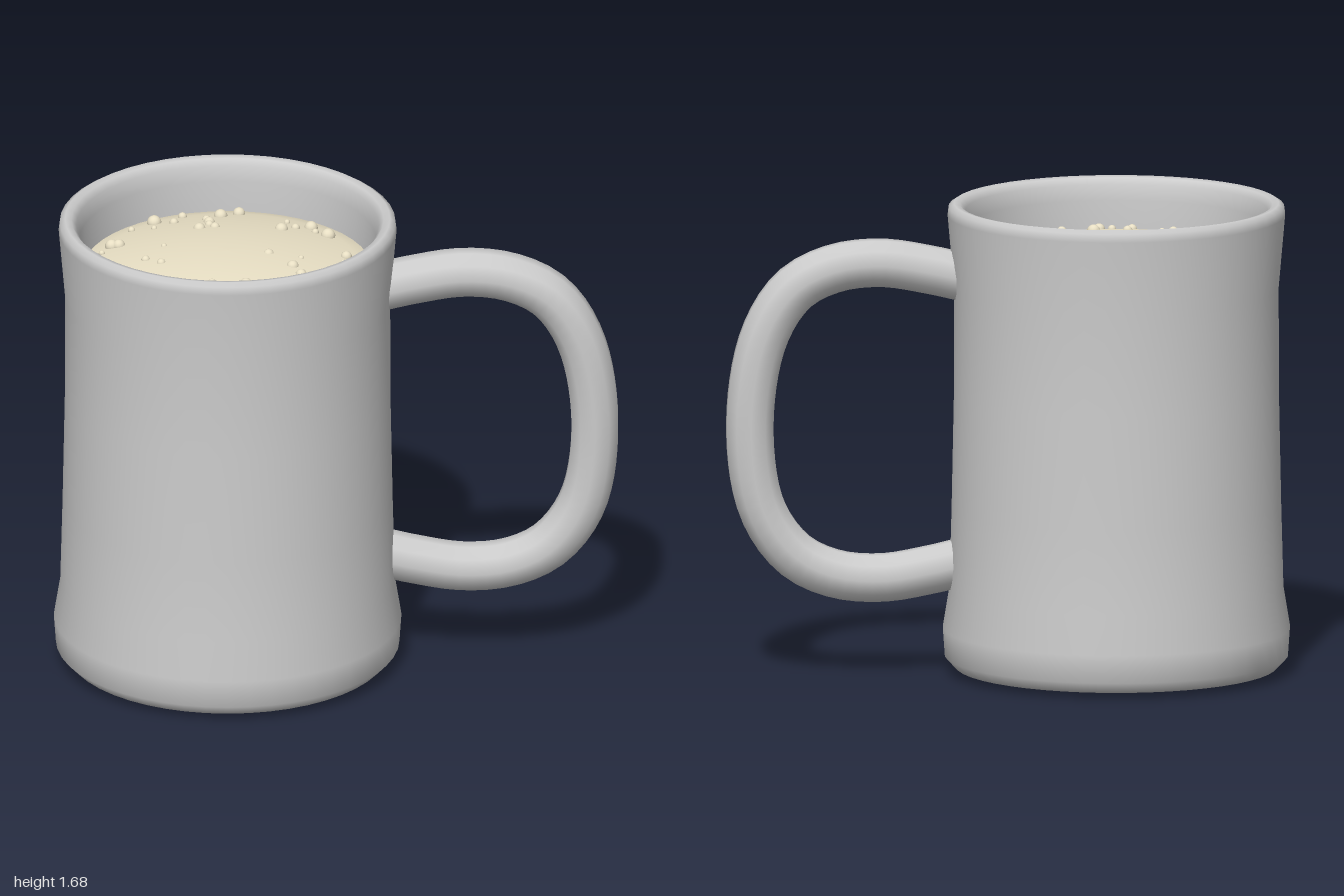
import * as THREE from 'three';

const MUG_X = -0.385; // axis of the round body

const grey = () => new THREE.MeshStandardMaterial({ color: 0xcccccc });
const cream = () => new THREE.MeshStandardMaterial({ color: 0xe8dfc4 });

function part(name, geometry, material) {
  const mesh = new THREE.Mesh(geometry, material);
  mesh.name = name;
  return mesh;
}

const lathe = (points, segments) =>
  new THREE.LatheGeometry(points.map(([r, y]) => new THREE.Vector2(r, y)), segments);

// Height of the domed drink at distance d from the axis
const domeHeight = (d) => 1.56 - 0.07 * (d / 0.515) ** 2;

// Bubbles on the drink: x and z from the mug axis, radius
const BUBBLES = [
  [-0.26, -0.365, 0.026], [-0.16, -0.42, 0.016], [-0.19, -0.34, 0.016], [-0.025, -0.41, 0.024],
  [0.04, -0.45, 0.022], [-0.34, -0.3, 0.013], [-0.26, -0.285, 0.011], [-0.075, -0.355, 0.016],
  [-0.065, -0.32, 0.02], [-0.1, -0.245, 0.022], [-0.045, -0.255, 0.018], [-0.065, -0.285, 0.016],
  [0.21, -0.35, 0.011], [0.295, -0.31, 0.024], [0.24, -0.285, 0.016], [0.19, -0.255, 0.024],
  [0.31, -0.26, 0.013], [0.355, -0.24, 0.026], [-0.41, -0.15, 0.024], [-0.385, -0.145, 0.022],
  [-0.445, -0.095, 0.011], [-0.44, 0.045, 0.026], [-0.225, -0.075, 0.011], [-0.29, 0.03, 0.016],
  [-0.235, 0.07, 0.016], [-0.41, 0.215, 0.022], [0.42, -0.05, 0.02], [0.145, 0.005, 0.02],
  [0.26, 0.025, 0.011], [0.41, 0.01, 0.011], [0.455, 0.08, 0.011], [0.23, 0.095, 0.022],
  [0.26, 0.155, 0.02], [0.375, 0.23, 0.02], [0.065, 0.255, 0.024], [-0.055, 0.25, 0.017],
  [-0.18, 0.3, 0.011], [-0.28, 0.365, 0.02], [-0.225, 0.38, 0.018], [-0.08, 0.4, 0.018],
  [-0.01, 0.425, 0.015], [0.035, 0.43, 0.021], [0.17, 0.39, 0.018], [0.25, 0.345, 0.012],
];

export function createModel() {
  const model = new THREE.Group();
  model.name = 'mug';

  // Body: outside from the base up, over the rim, down the inner wall to the floor
  const body = part('body', lathe([
    [0, 0], [0.4, 0.004], [0.57, 0.02], [0.608, 0.06], [0.615, 0.16], [0.592, 0.3],
    [0.584, 0.6], [0.576, 1.0], [0.575, 1.38], [0.598, 1.64], [0.594, 1.67], [0.575, 1.682],
    [0.552, 1.677], [0.535, 1.655], [0.525, 1.6], [0.515, 1.4], [0.515, 0.2], [0.48, 0.12], [0, 0.12],
  ], 48), grey());
  body.position.x = MUG_X;
  model.add(body);

  // Handle: a bent bar with both ends sunk into the wall
  const path = new THREE.CatmullRomCurve3([
    [0.155, 1.42], [0.27, 1.447], [0.45, 1.475], [0.62, 1.455], [0.76, 1.38], [0.865, 1.21],
    [0.914, 0.9], [0.872, 0.6], [0.76, 0.435], [0.62, 0.363], [0.45, 0.345], [0.27, 0.373], [0.155, 0.4],
  ].map(([x, y]) => new THREE.Vector3(x, y, 0)));
  model.add(part('handle', new THREE.TubeGeometry(path, 48, 0.087, 10), grey()));

  // Drink: a shallow dome tucked under at its edge
  const profile = [[0.516, 1.45], [0.515, 1.48]];
  for (let i = 0; i <= 10; i++) {
    const d = 0.51 * (1 - i / 10);
    profile.push([d, domeHeight(d)]);
  }
  const drink = part('drink', lathe(profile, 48), cream());
  drink.position.x = MUG_X;
  model.add(drink);

  // Bubbles: nearly sunk in the middle, standing proud near the edge
  const bubbles = new THREE.Group();
  bubbles.name = 'bubbles';
  const ball = new THREE.SphereGeometry(1, 14, 10);
  const bubbleMaterial = cream();
  for (const [x, z, r] of BUBBLES) {
    const d = Math.hypot(x, z);
    const bubble = part('bubble', ball, bubbleMaterial);
    bubble.scale.setScalar(r);
    bubble.position.set(MUG_X + x, domeHeight(d) + r * (1.8 * d - 0.7), z);
    bubbles.add(bubble);
  }
  model.add(bubbles);

  return model;
}
